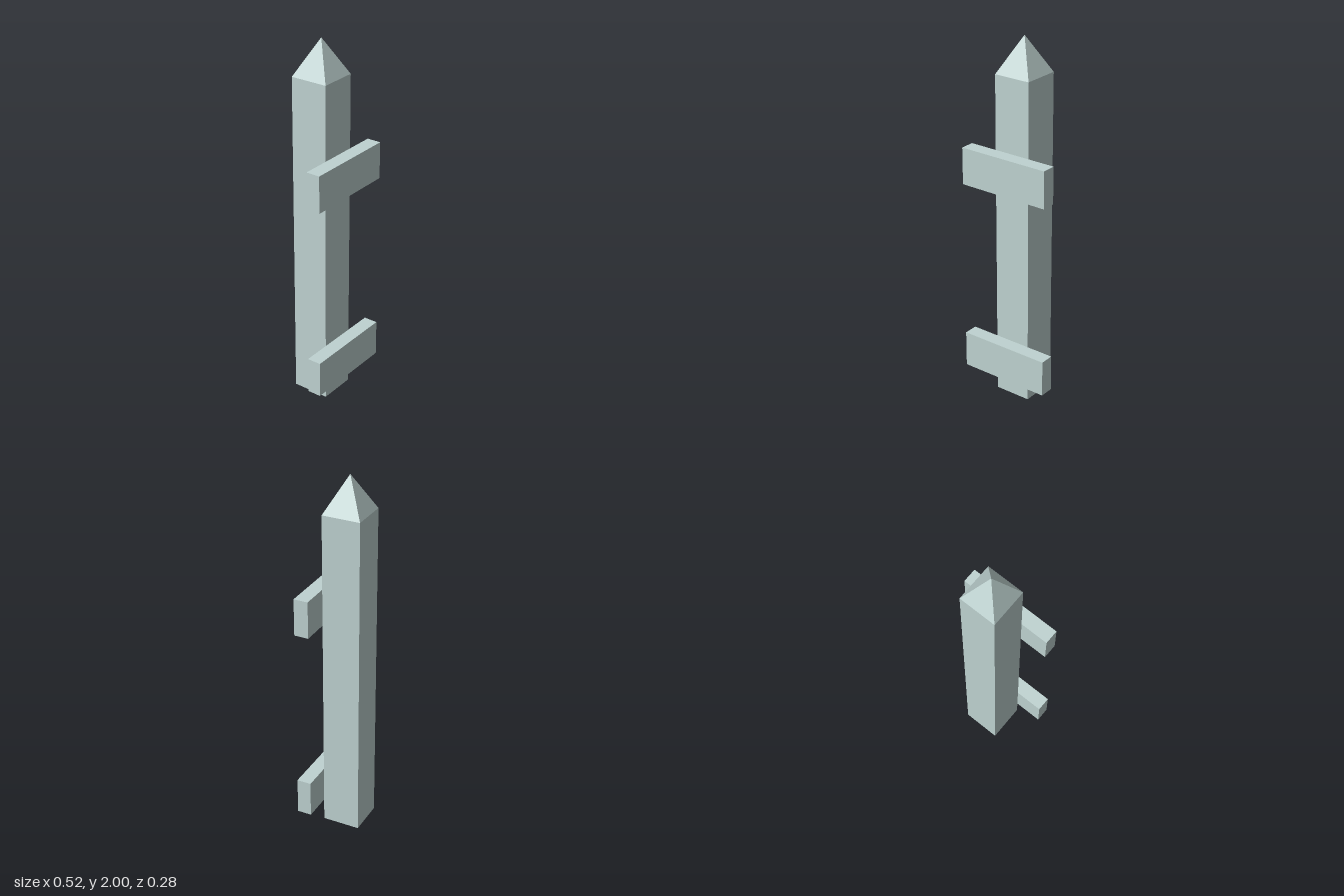
import * as THREE from 'three';

export function createModel() {
  const group = new THREE.Group();
  const paleMetal = new THREE.MeshStandardMaterial({ color: 0xbfd3d1, flatShading: true });
  paleMetal.name = 'paleMetal';

  const add = (name, geometry, x, y, z) => {
    const mesh = new THREE.Mesh(geometry, paleMetal);
    mesh.name = name;
    mesh.position.set(x, y, z);
    group.add(mesh);
  };

  const postWidth = 0.206, postHeight = 1.806, postZ = -0.039;
  const tipHeight = 2 - postHeight;

  // Square upright post
  add('post', new THREE.BoxGeometry(postWidth, postHeight, postWidth), 0, postHeight / 2, postZ);

  // Four-sided pointed tip, turned to line up with the post
  const tip = new THREE.ConeGeometry(postWidth / Math.SQRT2, tipHeight, 4, 1, true);
  tip.rotateY(Math.PI / 4);
  add('pointedTip', tip, 0, postHeight + tipHeight / 2, postZ);

  // Two crossing rails on the front of the post
  const rails = [['lowerRail', 0.227], ['upperRail', 1.306]];
  for (const [name, y] of rails) {
    add(name, new THREE.BoxGeometry(0.516, 0.202, 0.078), 0, y, 0.103);
  }

  return group;
}
